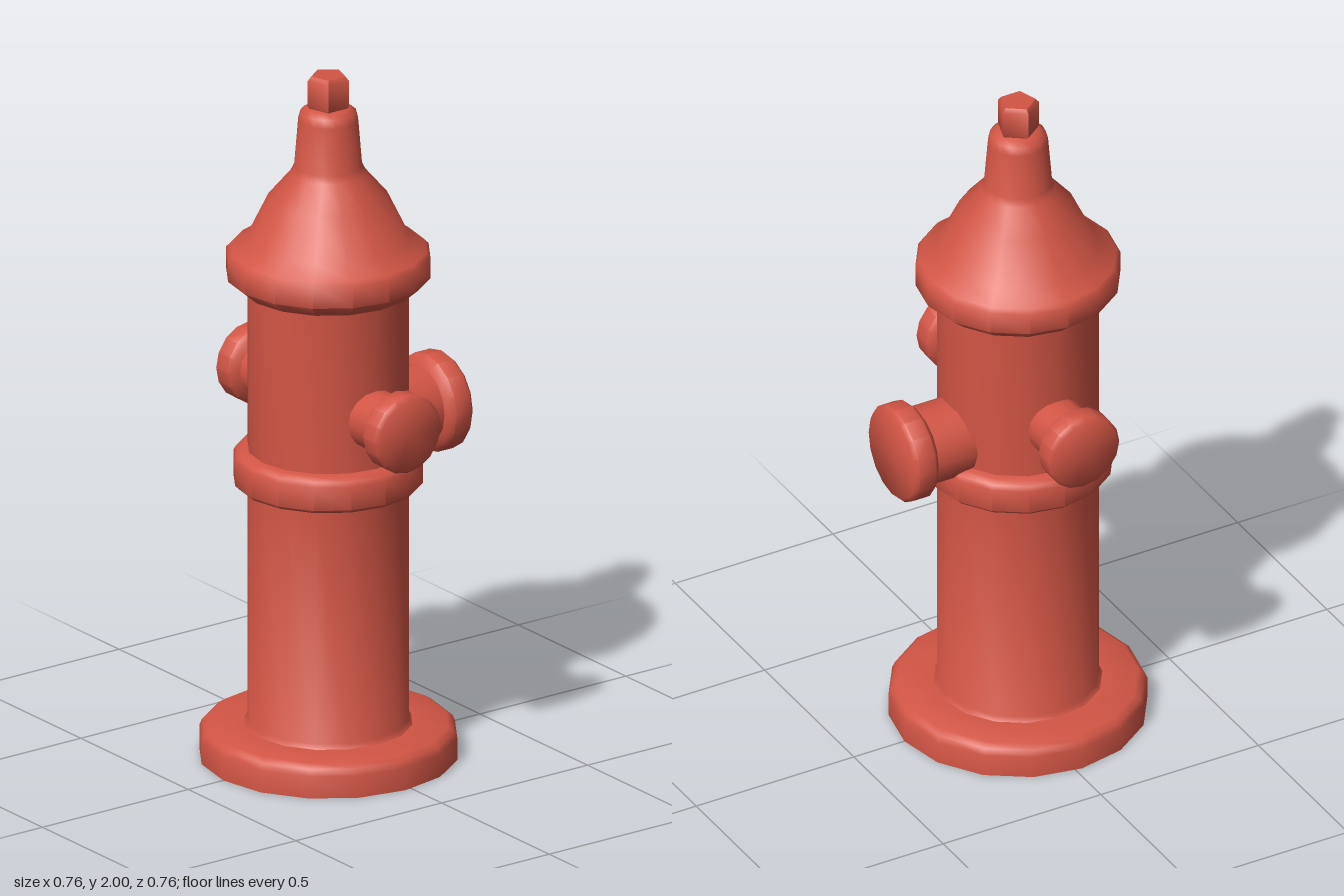
import * as THREE from 'three';
import { toCreasedNormals } from 'three/addons/utils/BufferGeometryUtils.js';

const AXIS_X = -0.02; // the barrel sits slightly off centre because of the side outlet

export function createModel() {
  const model = new THREE.Group();
  model.name = 'fireHydrant';
  const red = new THREE.MeshStandardMaterial({ color: 0xd25545, side: THREE.DoubleSide });

  // Turned part from [radius, height] pairs, with smooth sides and sharp rims
  function turned(name, profile, sides = 16) {
    const points = profile.map(([r, y]) => new THREE.Vector2(r, y));
    const geometry = toCreasedNormals(new THREE.LatheGeometry(points, sides), 0.85);
    const mesh = new THREE.Mesh(geometry, red);
    mesh.name = name;
    mesh.position.x = AXIS_X;
    model.add(mesh);
    return mesh;
  }

  // Base flange, barrel, middle ring, bonnet and neck; open underneath
  turned('body', [
    [0.36, 0], [0.36, 0.065], [0.352, 0.083], [0.335, 0.095], [0.235, 0.097], [0.225, 0.11],
    [0.225, 0.8], [0.255, 0.802], [0.265, 0.812], [0.265, 0.88], [0.258, 0.893], [0.24, 0.903], [0.225, 0.906],
    [0.225, 1.375], [0.245, 1.38], [0.285, 1.415], [0.285, 1.478], [0.274, 1.49],
    [0.225, 1.522], [0.167, 1.642], [0.105, 1.715], [0.095, 1.735],
    [0.084, 1.87], [0.078, 1.893], [0.06, 1.906], [0, 1.908],
  ]);

  // Five-sided operating nut
  const nut = turned('operatingNut', [
    [0.05, 1.9], [0.06, 1.912], [0.06, 1.988], [0.05, 2], [0, 2],
  ], 5);
  nut.rotation.y = Math.PI;

  // Hose outlet: neck and bevelled cap, built along +y then laid outwards
  function outlet(name, neckR, capR, height, tilt) {
    const mesh = turned(name, [
      [neckR, 0.16], [neckR, 0.295], [capR - 0.012, 0.304], [capR, 0.316],
      [capR, 0.368], [capR - 0.012, 0.38], [0, 0.38],
    ]);
    mesh.position.y = height;
    mesh.rotation.set(...tilt);
    return mesh;
  }
  outlet('frontOutlet', 0.085, 0.113, 1.05, [Math.PI / 2, 0, 0]);
  outlet('backOutlet', 0.085, 0.113, 1.05, [-Math.PI / 2, 0, 0]);
  const side = outlet('leftOutlet', 0.113, 0.141, 0.96, [0, 0, -Math.PI / 2]);
  side.position.x = 0;

  return model;
}
